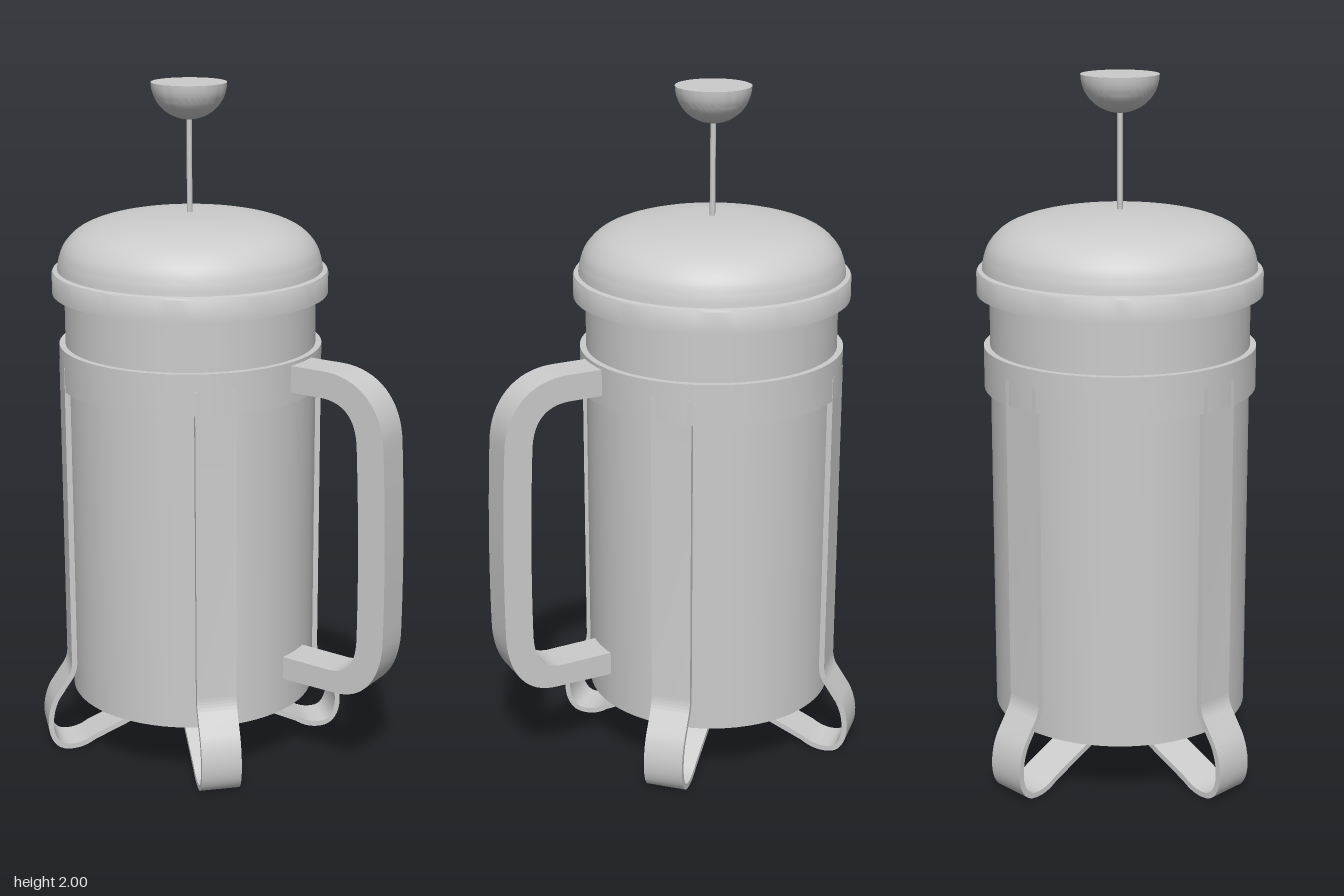
import * as THREE from 'three';
import { toCreasedNormals } from 'three/addons/utils/BufferGeometryUtils.js';

const material = new THREE.MeshStandardMaterial({ color: 0xcccccc });
const v2 = ([x, y]) => new THREE.Vector2(x, y);

function part(name, geometry, parent) {
  const mesh = new THREE.Mesh(toCreasedNormals(geometry, 0.6), material);
  mesh.name = name;
  parent.add(mesh);
  return mesh;
}

// Turned part; the profile runs from bottom to top as [radius, y]
const lathe = (points) => new THREE.LatheGeometry(points.map(v2), 72);

// Flat bar: a centre line in the xy plane, thickened and extruded along z
function bar(path, thickness, width) {
  const pts = path.getPoints(14);
  const left = [], right = [];
  pts.forEach((p, i) => {
    const a = pts[Math.max(i - 1, 0)], b = pts[Math.min(i + 1, pts.length - 1)];
    const t = b.clone().sub(a).normalize();
    const n = new THREE.Vector2(-t.y, t.x).multiplyScalar(thickness / 2);
    left.push(p.clone().add(n));
    right.unshift(p.clone().sub(n));
  });
  const geometry = new THREE.ExtrudeGeometry(new THREE.Shape([...left, ...right]),
    { depth: width, bevelEnabled: false });
  return geometry.translate(0, 0, -width / 2);
}

export function createModel() {
  const model = new THREE.Group();
  model.name = 'coffeePress';
  const pot = new THREE.Group();
  pot.name = 'pot';
  pot.position.x = -0.15;
  model.add(pot);

  // Beaker and the band around it
  part('beaker', lathe([[0, 0.18], [0.365, 0.18], [0.365, 1.43], [0, 1.43]]), pot);
  part('band', lathe([[0.365, 1.13], [0.383, 1.13], [0.383, 1.25], [0.365, 1.25], [0.365, 1.13]]), pot);

  // Lid: rim and dome
  part('lidRim', lathe([[0, 1.4], [0.4, 1.4], [0.4, 1.46], [0.397, 1.466], [0.38, 1.47], [0, 1.47]]), pot);
  const dome = new THREE.SplineCurve([[0.385, 1.465], [0.379, 1.5], [0.362, 1.54], [0.32, 1.58],
    [0.25, 1.607], [0.15, 1.624], [0.07, 1.629], [0, 1.63]].map(v2));
  part('lidDome', new THREE.LatheGeometry(dome.getPoints(28), 72), pot);

  // Plunger: rod and half-round knob
  part('plungerRod', new THREE.CylinderGeometry(0.008, 0.008, 0.8, 16).translate(0, 1.6, 0), pot);
  const knob = [];
  for (let i = 0; i <= 16; i++) {
    const a = (i / 16) * Math.PI / 2;
    knob.push([0.108 * Math.sin(a), 2 - 0.105 * Math.cos(a)]);
  }
  part('plungerKnob', lathe([...knob, [0, 2]]), pot);

  // Four strap legs, each looping out at the foot and back under the beaker
  const strap = new THREE.Path();
  strap.moveTo(0.372, 1.2);
  strap.lineTo(0.372, 0.28);
  strap.quadraticCurveTo(0.373, 0.255, 0.385, 0.235);
  strap.lineTo(0.425, 0.175);
  strap.bezierCurveTo(0.462, 0.11, 0.455, 0.009, 0.395, 0.008);
  strap.quadraticCurveTo(0.355, 0.005, 0.32, 0.03);
  strap.lineTo(0.016, 0.168);
  const strapGeometry = bar(strap, 0.016, 0.117);
  for (let i = 0; i < 4; i++) {
    part('leg', strapGeometry, pot).rotation.y = Math.PI / 4 + i * Math.PI / 2;
  }

  // Handle on the model's left
  const grip = new THREE.Shape();
  grip.moveTo(0.205, 1.24);
  grip.lineTo(0.33, 1.24);
  grip.bezierCurveTo(0.45, 1.24, 0.525, 1.16, 0.53, 1.04);
  grip.quadraticCurveTo(0.547, 0.74, 0.542, 0.46);
  grip.bezierCurveTo(0.535, 0.35, 0.48, 0.28, 0.39, 0.28);
  grip.lineTo(0.205, 0.28);
  grip.lineTo(0.205, 0.35);
  grip.lineTo(0.37, 0.347);
  grip.bezierCurveTo(0.43, 0.35, 0.455, 0.39, 0.457, 0.46);
  grip.quadraticCurveTo(0.461, 0.74, 0.445, 1.04);
  grip.bezierCurveTo(0.44, 1.12, 0.40, 1.16, 0.33, 1.162);
  grip.lineTo(0.205, 1.162);
  part('handle', new THREE.ExtrudeGeometry(grip,
    { depth: 0.11, bevelEnabled: false, curveSegments: 16 }).translate(0, 0, -0.055), model);

  return model;
}
